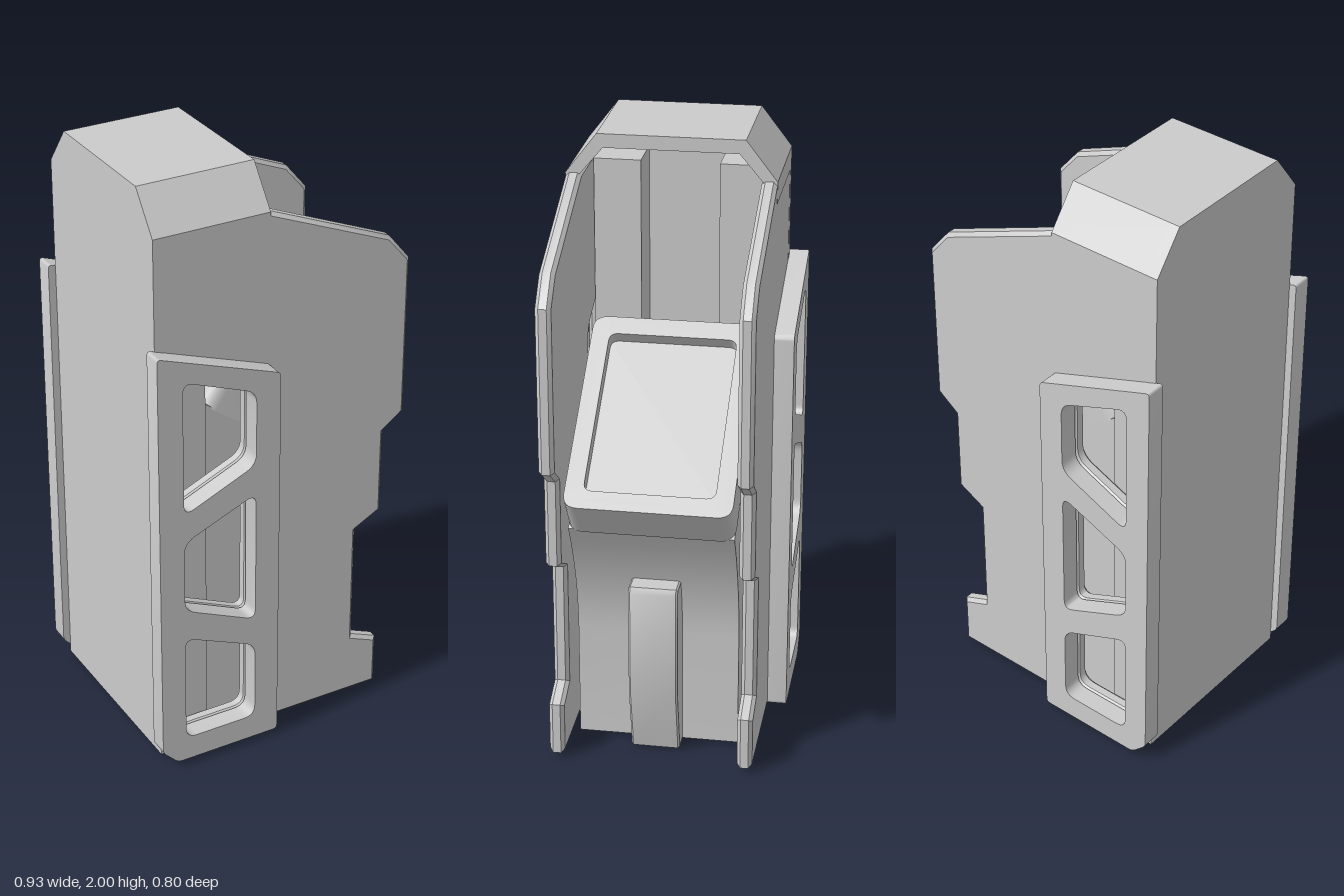
import * as THREE from 'three';
import { toCreasedNormals } from 'three/addons/utils/BufferGeometryUtils.js';

const mat = new THREE.MeshStandardMaterial({ color: 0xcccccc });

// Polygon path with every corner rounded by r
function roundPoly(pts, r, Type = THREE.Shape) {
  const path = new Type();
  const v = pts.map(p => new THREE.Vector2(p[0], p[1]));
  v.forEach((p, i) => {
    const prev = v[(i + v.length - 1) % v.length], next = v[(i + 1) % v.length];
    const a = p.clone().add(prev.clone().sub(p).setLength(r));
    const b = p.clone().add(next.clone().sub(p).setLength(r));
    if (i === 0) path.moveTo(a.x, a.y); else path.lineTo(a.x, a.y);
    path.quadraticCurveTo(p.x, p.y, b.x, b.y);
  });
  path.closePath();
  return path;
}

const poly = pts => new THREE.Shape(pts.map(p => new THREE.Vector2(p[0], p[1])));

// Extrusion from z = 0 to depth, with an optional inward bevel on both faces
function extrude(shape, depth, bevel = 0) {
  const g = new THREE.ExtrudeGeometry(shape, {
    depth: depth - 2 * bevel, bevelEnabled: bevel > 0, bevelThickness: bevel,
    bevelSize: bevel, bevelOffset: -bevel, bevelSegments: 1, curveSegments: 6,
  });
  g.translate(0, 0, bevel);
  return toCreasedNormals(g, 0.5);
}

function add(parent, name, geometry) {
  const m = new THREE.Mesh(geometry, mat);
  m.name = name;
  parent.add(m);
  return m;
}

function box(x0, x1, y0, y1, z0, z1) {
  return new THREE.BoxGeometry(x1 - x0, y1 - y0, z1 - z0)
    .translate((x0 + x1) / 2, (y0 + y1) / 2, (z0 + z1) / 2);
}

export function createModel() {
  const model = new THREE.Group();
  model.name = 'holder';

  // Three windows shared by the side plates and the rails
  const windows = [
    [[-0.38, 1.415], [-0.125, 1.315], [-0.125, 1.06], [-0.38, 0.95]],
    [[-0.38, 0.85], [-0.125, 0.955], [-0.125, 0.485], [-0.38, 0.6]],
    [[-0.38, 0.495], [-0.125, 0.385], [-0.125, 0.105], [-0.38, 0.105]],
  ];
  const cutWindows = shape => {
    for (const w of windows) shape.holes.push(roundPoly(w, 0.04, THREE.Path));
    return shape;
  };

  // Side plates, rails and inner posts on both sides
  const plate = cutWindows(poly([
    [-0.44, 0.02], [0.385, 0.02], [0.385, 0.2], [0.29, 0.24], [0.29, 0.655], [0.385, 0.705],
    [0.385, 1.0], [0.46, 1.055], [0.46, 1.6], [0.385, 1.69], [-0.045, 1.87], [-0.44, 1.87],
  ]));
  const rail = cutWindows(roundPoly([
    [-0.465, 0.075], [-0.41, 0.02], [-0.04, 0.02], [-0.04, 1.36], [-0.465, 1.515],
  ], 0.015));
  for (const side of [1, -1]) {
    const tag = side > 0 ? 'left' : 'right';
    add(model, tag + 'SidePlate', extrude(plate, 0.05, 0.012))
      .position.z = side > 0 ? 0.284 : -0.334;
    add(model, tag + 'Rail', extrude(rail, 0.065))
      .position.z = side > 0 ? 0.333 : -0.398;
    add(model, tag + 'Post', box(-0.42, -0.24, 0, 1.86, side * 0.205 - 0.077, side * 0.205 + 0.077));
  }

  // Back wall and chamfered cap, both drawn across the width
  const across = (shape, depth) => extrude(shape, depth).rotateY(Math.PI / 2).translate(-0.44, 0, 0);
  add(model, 'backWall', across(poly([
    [-0.335, 0.02], [0.335, 0.02], [0.335, 1.87], [0.235, 2], [-0.235, 2], [-0.335, 1.87],
  ]), 0.035));
  add(model, 'topCap', across(poly([
    [0.335, 1.8], [0.335, 1.87], [0.235, 2], [-0.235, 2], [-0.335, 1.87], [-0.335, 1.8],
    [-0.295, 1.8], [-0.295, 1.86], [-0.215, 1.955], [0.215, 1.955], [0.295, 1.86], [0.295, 1.8],
  ]), 0.395));
  add(model, 'floor', box(-0.42, -0.2, 0.01, 0.04, -0.282, 0.282));

  // Insert body with a front that curves out under the tray
  const body = new THREE.Shape();
  body.moveTo(-0.238, 0.01);
  body.lineTo(0.21, 0.01);
  body.lineTo(0.21, 0.4);
  body.quadraticCurveTo(0.215, 0.6, 0.35, 0.825);
  body.lineTo(-0.235, 1.24);
  body.closePath();
  add(model, 'insertBody', extrude(body, 0.53).translate(0, 0, -0.265));

  // Tilted tray with a shallow recess on top of the insert
  const tray = new THREE.Group();
  tray.name = 'tray';
  tray.position.set(0.145, 1.148, 0);
  tray.rotation.z = -0.613;
  model.add(tray);
  const rect = (u, w, r, Type) => roundPoly([[-u, -w], [u, -w], [u, w], [-u, w]], r, Type);
  const rim = rect(0.36, 0.267, 0.05);
  rim.holes.push(rect(0.295, 0.208, 0.03, THREE.Path));
  add(tray, 'trayRim', extrude(rim, 0.15).rotateX(-Math.PI / 2).translate(0, -0.15, 0));
  add(tray, 'trayFloor', box(-0.32, 0.32, -0.148, -0.044, -0.23, 0.23));

  // Front rib, tapering in at its foot
  const rib = poly([[0.18, 0.005], [0.27, 0.005], [0.325, 0.24], [0.325, 0.595], [0.315, 0.615], [0.18, 0.615]]);
  add(model, 'frontRib', extrude(rib, 0.16, 0.006).translate(0, 0, -0.08));

  return model;
}
